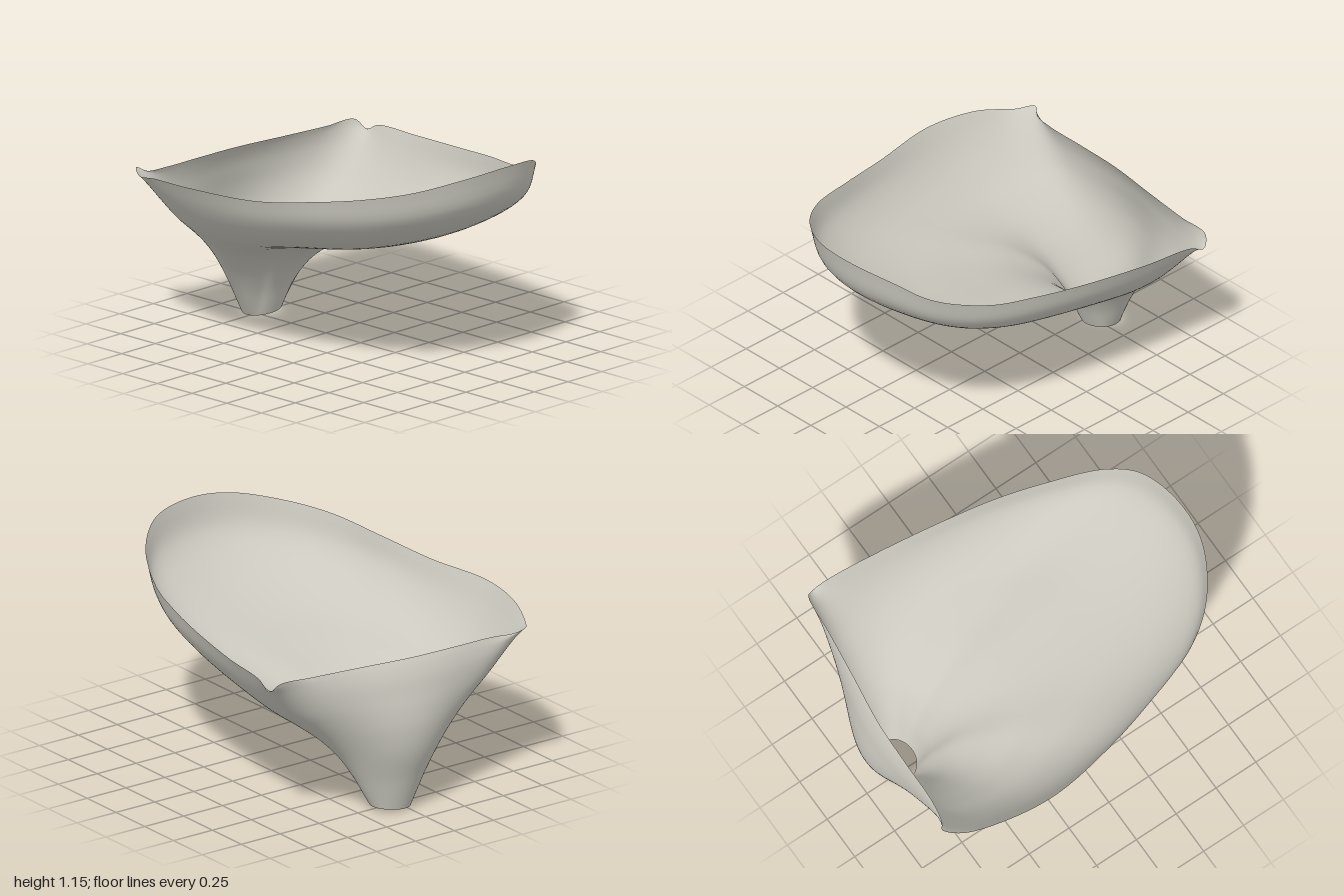
import * as THREE from 'three';

// Rim outline: x, y, z, profile blend (0 front .. 4 back), back bulge weight
const RIM = [
  [0.04, 1.15, 1.0, 0, 0], [0.3, 1.12, 0.94, 0.2, 0], [0.46, 1.03, 0.81, 0.5, 0],
  [0.6, 0.94, 0.53, 0.8, 0], [0.68, 0.915, 0.28, 1, 0], [0.74, 0.89, 0, 1.4, 0],
  [0.8, 0.865, -0.38, 1.9, 0], [0.83, 0.85, -0.68, 2.3, 0], [0.835, 0.81, -0.77, 2.7, 0],
  [0.8, 0.86, -0.815, 3, 0.1], [0.6, 0.86, -0.835, 3.3, 0.6], [0.32, 0.86, -0.87, 3.7, 1],
  [0.02, 0.86, -0.91, 4, 1.08], [-0.25, 0.86, -0.92, 3.7, 0.95], [-0.48, 0.86, -0.925, 3.3, 0.65],
  [-0.61, 0.86, -0.95, 3.1, 0.25], [-0.65, 0.885, -0.98, 3, 0], [-0.72, 0.87, -0.9, 2.8, 0],
  [-0.8, 0.91, -0.7, 2.3, 0], [-0.84, 0.93, -0.4, 2, 0], [-0.78, 0.935, 0, 1.4, 0],
  [-0.7, 0.98, 0.32, 1, 0], [-0.6, 1.035, 0.62, 0.7, 0], [-0.45, 1.08, 0.82, 0.4, 0],
  [-0.2, 1.135, 0.97, 0.1, 0],
];

// Spout-to-rim profiles: distance along the ray, then height as a share of rim height
const REACH = [
  [0, 0.05, 0.13, 0.27, 0.5, 0.7, 0.87, 0.975, 1],
  [0, 0.06, 0.15, 0.3, 0.5, 0.7, 0.86, 0.965, 1],
  [0, 0.13, 0.26, 0.4, 0.54, 0.71, 0.84, 0.925, 1],
  [0, 0.13, 0.26, 0.41, 0.56, 0.71, 0.84, 0.935, 1],
  [0, 0.1, 0.25, 0.4, 0.55, 0.7, 0.8, 0.9, 1],
];
const RISE = [
  [0, 0.16, 0.295, 0.41, 0.5, 0.57, 0.685, 0.83, 1],
  [0, 0.18, 0.345, 0.475, 0.565, 0.645, 0.745, 0.87, 1],
  [0, 0.185, 0.335, 0.45, 0.54, 0.645, 0.76, 0.87, 1],
  [0, 0.2, 0.38, 0.53, 0.65, 0.76, 0.87, 0.95, 1],
  [0, 0.22, 0.42, 0.58, 0.7, 0.8, 0.89, 0.96, 1],
];
const BULGE = [0, 0.06, 0.11, 0.12, 0.105, 0.08, 0.055, 0.025, 0];

function blend(table, q, i) {
  const a = Math.min(3, Math.floor(q));
  return THREE.MathUtils.lerp(table[a][i], table[a + 1][i], q - a);
}

// Relaxes a closed ring of points
function relax(ring, weight, passes) {
  const n = ring.length;
  for (let pass = 0; pass < passes; pass++) {
    const old = ring.map(p => p.clone());
    ring.forEach((p, j) => {
      const middle = old[(j + 1) % n].clone().add(old[(j + n - 1) % n]).multiplyScalar(0.5);
      p.lerp(middle, weight);
    });
  }
  return ring;
}

function scoopGeometry(around = 300, along = 40) {
  const rim = new THREE.CatmullRomCurve3(RIM.map(r => new THREE.Vector3(r[0], r[1], r[2])), true);
  rim.arcLengthDivisions = 1000;
  const mix = new THREE.CatmullRomCurve3(
    RIM.map(r => new THREE.Vector3(r[3], r[4], 0)), true, 'catmullrom', 0.5);

  // Evenly spaced rim points, their profile blends and matching directions at the spout
  const steps = Array.from({ length: around }, (_, j) => rim.getUtoTmapping(j / around));
  const edges = steps.map(t => rim.getPoint(t));
  const mixes = relax(steps.map(t => mix.getPoint(t)), 0.5, 80);
  const directions = relax(edges.map(e => {
    const dz = e.z + 0.77;
    return new THREE.Vector3(e.x - 0.06, 0, dz * (dz > 0 ? 0.6 : 2.5)).normalize();
  }), 0.5, 200).map(d => d.normalize());

  // Rays from the slightly tilted spout opening to the rim
  const rays = edges.map((edge, j) => {
    const d = directions[j], q = THREE.MathUtils.clamp(mixes[j].x, 0, 4);
    const hole = new THREE.Vector3(0.06 + 0.113 * d.x, 0.0125 + 0.0125 * d.x, -0.77 + 0.095 * d.z);
    return new THREE.CatmullRomCurve3(BULGE.map((bulge, i) => {
      const p = hole.clone().lerp(edge, blend(REACH, q, i));
      p.y = THREE.MathUtils.lerp(hole.y, edge.y, blend(RISE, q, i));
      p.z -= bulge * Math.max(0, mixes[j].y);
      return p;
    }));
  });

  // Rings from spout to rim, softened between the two openings
  const positions = [], index = [];
  for (let i = 0; i <= along; i++) {
    const t = i / along;
    const ring = rays.map(ray => ray.getPoint(t));
    relax(ring, 0.5 * Math.min(1, 8 * t) * (1 - t * t), 150);
    ring.forEach(p => positions.push(p.x, p.y, p.z));
  }
  for (let i = 0; i < along; i++) {
    for (let j = 0; j < around; j++) {
      const k = (j + 1) % around;
      const a = i * around + j, b = i * around + k;
      index.push(a, a + around, b, b, a + around, b + around);
    }
  }
  const geometry = new THREE.BufferGeometry();
  geometry.setAttribute('position', new THREE.Float32BufferAttribute(positions, 3));
  geometry.setIndex(index);
  geometry.computeVertexNormals();
  return geometry;
}

export function createModel() {
  const model = new THREE.Group();
  model.name = 'scoop';
  const stone = new THREE.MeshStandardMaterial({ color: 0xcbc9bf, side: THREE.DoubleSide });
  stone.name = 'warm grey';

  // Thin open bowl flowing into the spout
  const shell = new THREE.Mesh(scoopGeometry(), stone);
  shell.name = 'bowlWithSpout';
  model.add(shell);
  return model;
}
